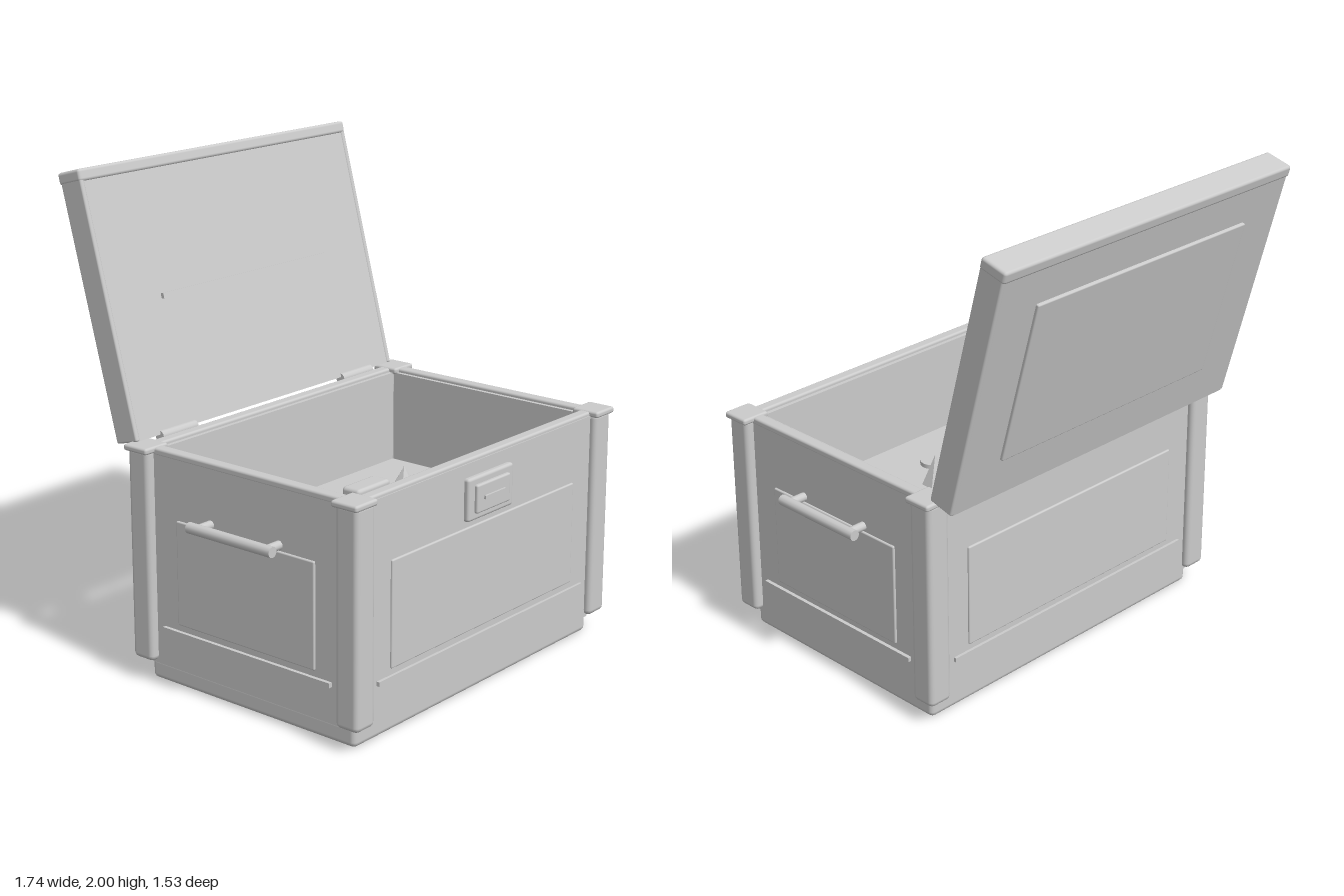
import * as THREE from 'three';
import { RoundedBoxGeometry } from 'three/addons/geometries/RoundedBoxGeometry.js';

const material = new THREE.MeshStandardMaterial({ color: 0xcccccc });
const flatMaterial = new THREE.MeshStandardMaterial({ color: 0xcccccc, flatShading: true });

const CZ = 0.174; // middle of the box in z

function add(parent, name, geometry, x, y, z, mat = material) {
  const mesh = new THREE.Mesh(geometry, mat);
  mesh.name = name;
  mesh.position.set(x, y, z);
  parent.add(mesh);
  return mesh;
}

// Box given by its limits, with softened edges when r > 0
function block(parent, name, [x0, x1], [y0, y1], [z0, z1], r = 0) {
  const size = [x1 - x0, y1 - y0, z1 - z0];
  const geometry = r > 0 ? new RoundedBoxGeometry(...size, 2, r) : new THREE.BoxGeometry(...size);
  return add(parent, name, geometry, (x0 + x1) / 2, (y0 + y1) / 2, (z0 + z1) / 2);
}

function rod(parent, name, radius, length, x, y, z, axis, sides = 12) {
  const geometry = new THREE.CylinderGeometry(radius, radius, length, sides);
  if (axis === 'x') geometry.rotateZ(Math.PI / 2);
  if (axis === 'z') geometry.rotateX(Math.PI / 2);
  return add(parent, name, geometry, x, y, z);
}

function buildBody() {
  const body = new THREE.Group();
  body.name = 'body';
  block(body, 'base', [-0.755, 0.755], [0, 0.088], [CZ - 0.52, CZ + 0.52], 0.022);

  // Front and back: wall, rim, raised panel and trim strip
  for (const s of [1, -1]) {
    const side = s > 0 ? 'front' : 'back';
    const span = (a, b) => [CZ + s * a, CZ + s * b].sort((p, q) => p - q);
    block(body, side + 'Wall', [-0.72, 0.72], [0.08, 0.95], span(0.475, 0.546));
    block(body, side + 'Rim', [-0.72, 0.72], [0.935, 0.966], span(0.492, 0.542), 0.01);
    block(body, side + 'Panel', [-0.582, 0.582], [0.272, 0.698], span(0.53, 0.554), 0.006);
    block(body, side + 'Strip', [-0.66, 0.66], [0.228, 0.246], span(0.53, 0.558));
  }

  // Left and right sides, each with a carrying handle
  for (const s of [1, -1]) {
    const side = s > 0 ? 'left' : 'right';
    const span = (a, b) => [s * a, s * b].sort((p, q) => p - q);
    block(body, side + 'Wall', span(0.705, 0.771), [0.08, 0.95], [CZ - 0.5, CZ + 0.5]);
    block(body, side + 'Rim', span(0.722, 0.772), [0.935, 0.966], [CZ - 0.48, CZ + 0.48], 0.01);
    block(body, side + 'Panel', span(0.755, 0.78), [0.272, 0.698], [CZ - 0.347, CZ + 0.347], 0.006);
    block(body, side + 'Strip', span(0.755, 0.786), [0.228, 0.246], [CZ - 0.425, CZ + 0.425]);
    const handle = new THREE.Group();
    handle.name = side + 'Handle';
    rod(handle, 'handleBar', 0.022, 0.42, s * 0.849, 0.722, CZ, 'z');
    for (const e of [1, -1]) {
      rod(handle, 'handleMount', 0.018, 0.085, s * 0.805, 0.72, CZ + e * 0.172, 'x');
    }
    body.add(handle);

    // Corner posts with flat caps
    for (const e of [1, -1]) {
      const post = new RoundedBoxGeometry(0.108, 0.87, 0.108, 2, 0.022);
      add(body, 'cornerPost', post, s * 0.753, 0.525, CZ + e * 0.52);
      const cap = new RoundedBoxGeometry(0.124, 0.026, 0.122, 2, 0.01);
      add(body, 'postCap', cap, s * 0.759, 0.957, CZ + e * 0.52);
    }
  }
  return body;
}

function buildLatch() {
  const latch = new THREE.Group();
  latch.name = 'latch';
  block(latch, 'latchPlate', [-0.144, 0.144], [0.724, 0.896], [0.71, 0.742], 0.012);
  block(latch, 'latchFace', [-0.106, 0.106], [0.753, 0.867], [0.73, 0.756], 0.008);
  block(latch, 'latchSlot', [-0.065, 0.065], [0.804, 0.818], [0.745, 0.765]);
  return latch;
}

// Open lid, built upright from its hinge edge and tilted backwards
function buildLid() {
  const lid = new THREE.Group();
  lid.name = 'lid';
  block(lid, 'lidSlab', [-0.765, 0.765], [0, 1.04], [-0.112, -0.004]);
  block(lid, 'lidTopRail', [-0.78, 0.78], [1.015, 1.064], [-0.12, 0.003], 0.012);
  for (const s of [1, -1]) {
    add(lid, 'lidSideRail', new RoundedBoxGeometry(0.022, 1.05, 0.113, 2, 0.008), s * 0.767, 0.525, -0.056);
  }
  block(lid, 'lidPanel', [-0.57, 0.57], [0.18, 0.868], [-0.125, -0.1], 0.006);
  block(lid, 'lidInnerStrip', [-0.486, 0.486], [0.51, 0.532], [-0.02, 0.01]);
  lid.position.set(0, 0.971, -0.376);
  lid.rotation.x = -0.262;
  return lid;
}

function buildContents() {
  const contents = new THREE.Group();
  contents.name = 'contents';
  const level = 0.56;
  block(contents, 'innerFloor', [-0.71, 0.71], [0.09, level], [CZ - 0.48, CZ + 0.48]);
  // Small bars
  for (const [x, z] of [[-0.04, -0.005], [0.23, -0.062], [-0.195, 0.365]]) {
    block(contents, 'bar', [x - 0.105, x + 0.105], [level - 0.015, level + 0.06], [z - 0.047, z + 0.047], 0.016);
  }
  // Faceted crystals
  for (const [x, z, r, h] of [[-0.35, 0.132, 0.078, 0.18], [0.385, 0.015, 0.068, 0.11], [0.115, 0.288, 0.057, 0.13]]) {
    add(contents, 'crystal', new THREE.ConeGeometry(r, h, 6), x, level + h / 2, z, flatMaterial);
  }
  // Flat discs
  for (const [x, z] of [[-0.485, 0.404], [0, 0.424], [0.463, 0.366]]) {
    rod(contents, 'disc', 0.053, 0.02, x, level + 0.008, z, 'y', 24);
  }
  return contents;
}

export function createModel() {
  const model = new THREE.Group();
  model.name = 'openChest';
  model.add(buildBody(), buildLatch(), buildLid(), buildContents());
  for (const s of [1, -1]) rod(model, 'hinge', 0.023, 0.195, s * 0.545, 0.962, -0.385, 'x');
  return model;
}
